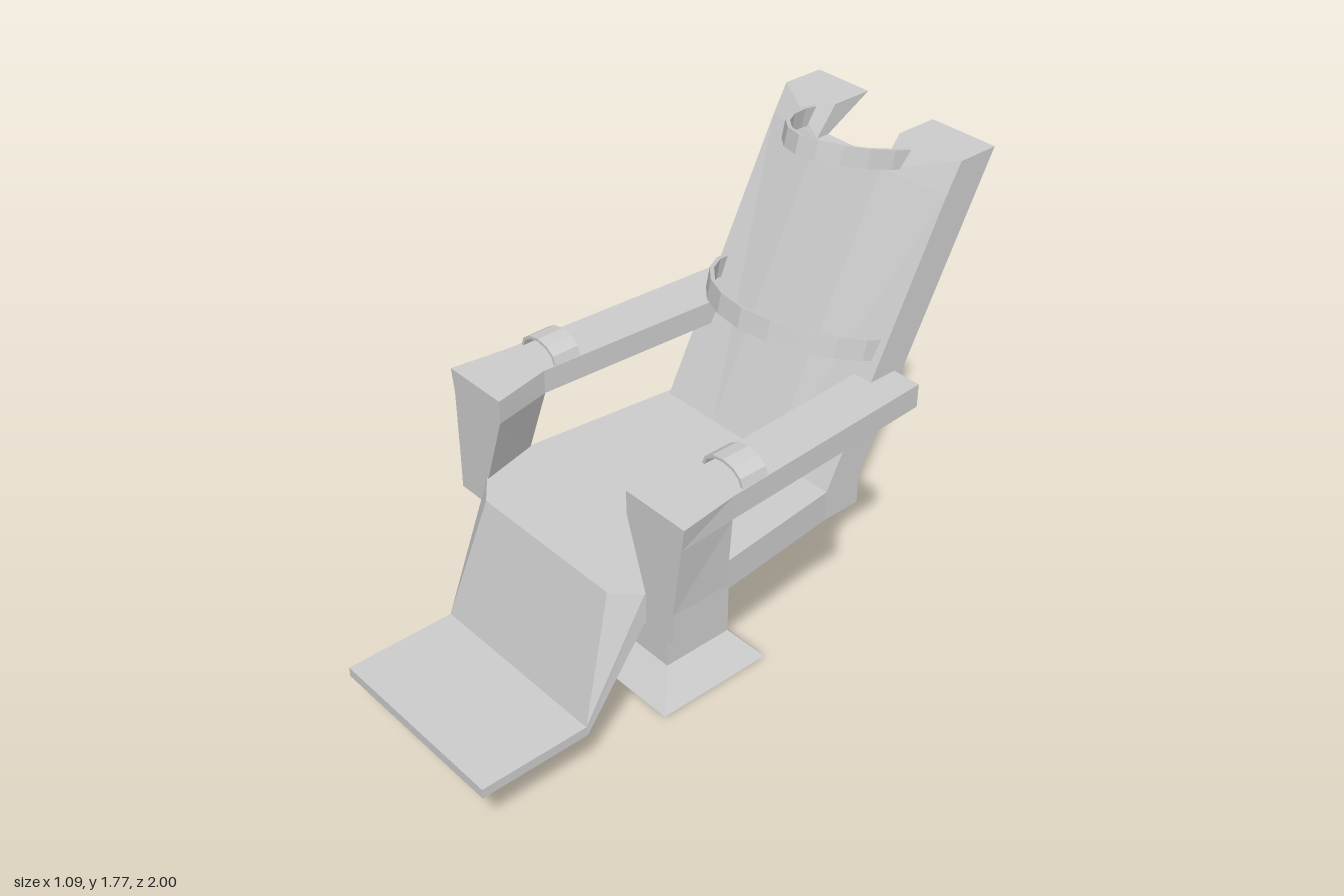
import * as THREE from 'three';

const material = new THREE.MeshStandardMaterial({ color: 0xcccccc, flatShading: true, side: THREE.DoubleSide });

function addMesh(parent, name, geometry) {
  const mesh = new THREE.Mesh(geometry, material);
  mesh.name = name;
  parent.add(mesh);
  return mesh;
}

// Closed solid through rings of [x, y, z] corners, with faces turned outward
function loft(rings) {
  const n = rings[0].length, last = rings.length - 1, tris = [];
  for (let r = 0; r < last; r++) {
    for (let i = 0; i < n; i++) {
      const j = (i + 1) % n;
      const [a, b, c, d] = [rings[r][i], rings[r][j], rings[r + 1][j], rings[r + 1][i]];
      tris.push([a, b, c], [a, c, d]);
    }
  }
  for (let i = 1; i < n - 1; i++) {
    tris.push([rings[0][0], rings[0][i + 1], rings[0][i]]);
    tris.push([rings[last][0], rings[last][i], rings[last][i + 1]]);
  }
  let volume = 0;
  for (const t of tris) {
    const [a, b, c] = t.map(p => new THREE.Vector3(...p));
    volume += a.dot(b.cross(c));
  }
  if (volume < 0) tris.forEach(t => t.reverse());
  const geometry = new THREE.BufferGeometry();
  geometry.setAttribute('position', new THREE.Float32BufferAttribute(tris.flat(2), 3));
  geometry.computeVertexNormals();
  return geometry;
}

// Horizontal rectangle at height y
const rect = (y, x0, x1, z0, z1) => [[x0, y, z0], [x1, y, z0], [x1, y, z1], [x0, y, z1]];

// Thin arched band, half width w and rise h, extruded by depth
function band(w, h, depth, segments, power = 1, thick = 0.015) {
  const outer = [], inner = [];
  for (let i = 0; i <= segments; i++) {
    const t = Math.PI * i / segments;
    const c = Math.cos(t), s = Math.pow(Math.max(0, Math.sin(t)), power);
    outer.push(new THREE.Vector2(c * w, s * h));
    inner.unshift(new THREE.Vector2(c * (w - thick), s * (h - thick)));
  }
  return new THREE.ExtrudeGeometry(new THREE.Shape([...outer, ...inner]), { depth, bevelEnabled: false });
}

export function createModel() {
  const chair = new THREE.Group();
  chair.name = 'recliningChair';

  // Flared foot and square column
  addMesh(chair, 'pedestal', loft([
    rect(0, -0.24, 0.215, -0.26, 0.19),
    rect(0.11, -0.15, 0.125, -0.17, 0.1),
    rect(0.64, -0.15, 0.125, -0.17, 0.1),
  ]));

  // Seat slab, widest where the arm posts meet it
  const plan = [[-0.37, -0.49], [-0.37, -0.345], [-0.44, 0.2], [-0.39, 0.41],
    [0.375, 0.41], [0.43, 0.2], [0.375, -0.345], [0.375, -0.49]];
  addMesh(chair, 'seat', loft([0.635, 0.745].map(y => plan.map(([x, z]) => [x, y, z]))));

  // Sloping leg rest with chamfered corners, and the foot plate
  addMesh(chair, 'legRest', loft([
    [[-0.39, 0.745, 0.41], [-0.295, 0.745, 0.485], [0.295, 0.745, 0.485],
      [0.375, 0.745, 0.41], [0.375, 0.635, 0.41], [-0.39, 0.635, 0.41]],
    [[-0.36, 0.31, 0.61], [-0.36, 0.31, 0.61], [0.335, 0.31, 0.61],
      [0.335, 0.31, 0.61], [0.335, 0.275, 0.605], [-0.36, 0.275, 0.605]],
  ]));
  addMesh(chair, 'footPlate', loft([
    rect(0.275, -0.36, 0.335, 0.605, 1), rect(0.31, -0.36, 0.335, 0.605, 1),
  ]));

  // Backrest: thin middle panel below the notch, thick side pieces
  const back = new THREE.Group();
  back.name = 'backrest';
  chair.add(back);
  addMesh(back, 'backPanel', loft([
    rect(0.745, -0.15, 0.125, -0.49, -0.345), rect(1.635, -0.15, 0.125, -0.82, -0.77),
  ]));
  for (const [outer, inner] of [[-0.37, -0.15], [0.375, 0.125]]) {
    addMesh(back, 'backSide', loft([
      rect(0.745, outer, inner, -0.49, -0.345),
      [[outer, 1.635, -0.946], [inner, 1.635, -0.82], [inner, 1.635, -0.77], [outer, 1.635, -0.792]],
      rect(1.73, outer, inner, -0.995, -0.845),
    ]));
  }

  // Head and chest straps, tilted up toward the front
  const straps = [
    ['headStrap', 0.212, 0.285, 0.062, [-0.018, 1.705, -0.83]],
    ['chestStrap', 0.358, 0.28, 0.07, [-0.003, 1.2, -0.59]],
  ];
  for (const [name, w, reach, height, position] of straps) {
    const strap = addMesh(chair, name, band(w, reach, height, 10, 1.25));
    strap.rotation.x = Math.PI / 2 - 0.22;
    strap.position.set(...position);
  }

  // Arms: rail, tapered front post and wrist strap on each side
  for (const side of [1, -1]) {
    const arm = new THREE.Group();
    arm.name = side > 0 ? 'leftArm' : 'rightArm';
    chair.add(arm);
    const foot = side > 0 ? 0.502 : 0.53;
    const railEnd = (z, inner, outer) =>
      [[inner, 1, z], [outer, 1, z], [outer, 1.083, z], [inner, 1.083, z]].map(([x, y, w]) => [side * x, y, w]);
    addMesh(arm, 'armRail', loft([railEnd(-0.62, 0.3, 0.478), railEnd(0.2, 0.343, 0.52)]));

    const postRing = (y, frontIn, frontOut, backIn, backOut) =>
      [[side * frontIn, y, 0.41], [side * frontOut, y, 0.41], [side * backOut, y, 0.2], [side * backIn, y, 0.2]];
    addMesh(arm, 'armPost', loft([
      postRing(0.635, 0.383, foot, 0.435, foot),
      postRing(0.745, 0.383, foot, 0.435, foot),
      postRing(1, 0.3, 0.534, 0.343, 0.52),
      postRing(1.083, 0.298, 0.547, 0.343, 0.52),
    ]));

    const wrist = addMesh(arm, 'wristStrap', band(0.087, 0.06, 0.1, 6, 1, 0.01));
    wrist.position.set(side * 0.427, 1.082, 0.057);
  }
  return chair;
}
